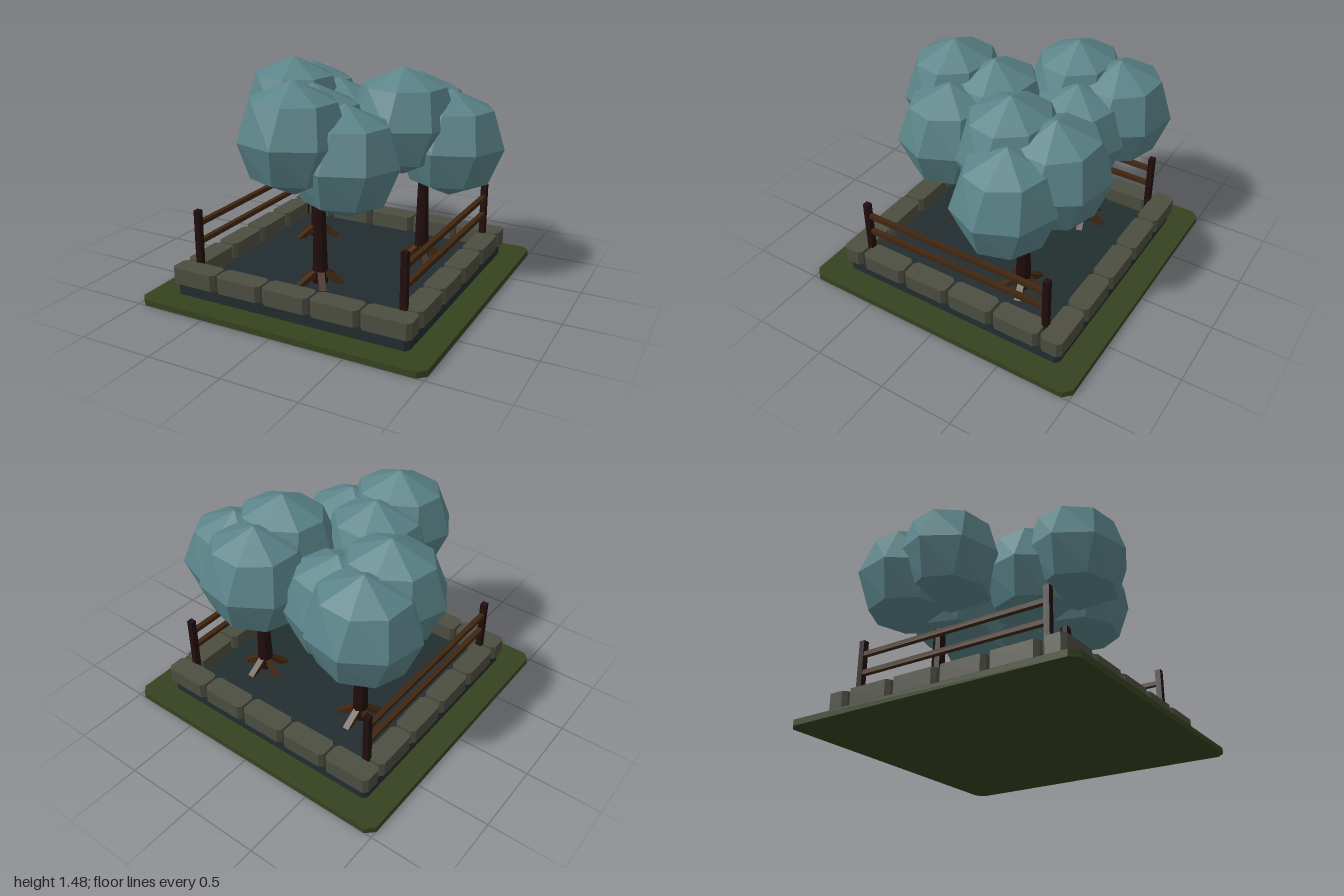
import * as THREE from 'three';

const material = (name, color) => {
  const m = new THREE.MeshStandardMaterial({ color });
  m.name = name;
  return m;
};

export function createModel() {
  const grass = material('grass green', 0x36421f);
  const soil = material('dark soil', 0x222d2f);
  const stone = material('grey stone', 0x4d4e41);
  const bark = material('dark bark', 0x220d0d);
  const wood = material('brown wood', 0x402610);
  const leaf = material('blue green leaves', 0x5a8388);
  const model = new THREE.Group();
  model.name = 'treeGarden';

  // Faceted mesh with one normal per face
  function add(parent, name, geometry, mat, x, y, z) {
    const g = geometry.index ? geometry.toNonIndexed() : geometry;
    g.computeVertexNormals();
    const mesh = new THREE.Mesh(g, mat);
    mesh.name = name;
    mesh.position.set(x, y, z);
    parent.add(mesh);
    return mesh;
  }

  // Block standing on y = 0 with its four upright edges cut off
  function block(w, h, d, c) {
    const a = w / 2, b = d / 2;
    const outline = [[a - c, -b], [a, c - b], [a, b - c], [a - c, b], [c - a, b], [-a, b - c], [-a, c - b], [c - a, -b]];
    const shape = new THREE.Shape(outline.map(([x, y]) => new THREE.Vector2(x, y)));
    return new THREE.ExtrudeGeometry(shape, { depth: h, bevelEnabled: false }).rotateX(-Math.PI / 2);
  }

  // Lawn and planting bed
  add(model, 'lawn', block(2, 0.04, 2, 0.05), grass, 0, 0, 0);
  add(model, 'bed', block(1.65, 0.08, 1.65, 0.025), soil, 0, 0.04, 0);

  // Stone border: five stones front and back, four on each side
  const border = new THREE.Group();
  border.name = 'stoneBorder';
  model.add(border);
  for (const s of [-1, 1]) {
    for (let i = -2; i <= 2; i++) {
      add(border, 'rowStone', block(0.325, 0.108, 0.148, 0.025), stone, i * 0.341, 0.12, s * 0.772);
    }
    for (let i = -1.5; i <= 1.5; i++) {
      add(border, 'sideStone', block(0.148, 0.108, 0.325, 0.025), stone, s * 0.772, 0.12, i * 0.344);
    }
  }

  // Fences along both sides
  for (const s of [-1, 1]) {
    const fence = new THREE.Group();
    fence.name = s > 0 ? 'leftFence' : 'rightFence';
    model.add(fence);
    for (const z of [-0.683, 0.683]) {
      add(fence, 'post', new THREE.BoxGeometry(0.041, 0.47, 0.04), bark, s * 0.732, 0.355, z);
    }
    for (const y of [0.37, 0.497]) {
      add(fence, 'rail', new THREE.BoxGeometry(0.034, 0.03, 1.33), wood, s * 0.732, y, 0);
    }
  }

  // Leaf clump: eight-sided with flat rings, each ring turned a little
  const profile = [[0, -0.365], [0.28, -0.24], [0.37, 0], [0.28, 0.24], [0, 0.365]];
  function clump(sx, sz, turn) {
    const g = new THREE.LatheGeometry(profile.map(([x, y]) => new THREE.Vector2(x, y)), 8);
    const p = g.attributes.position;
    const v = new THREE.Vector3();
    const up = new THREE.Vector3(0, 1, 0);
    for (let i = 0; i < p.count; i++) {
      v.fromBufferAttribute(p, i).applyAxisAngle(up, turn + v.y * 0.5);
      p.setXYZ(i, v.x * sx, v.y, v.z * sz);
    }
    return g;
  }

  // Three matching trees
  for (const [x, z] of [[-0.42, -0.325], [0.413, -0.325], [-0.003, 0.375]]) {
    const tree = new THREE.Group();
    tree.name = 'tree';
    tree.position.set(x, 0, z);
    model.add(tree);
    add(tree, 'trunk', new THREE.CylinderGeometry(0.03, 0.054, 0.8, 8), bark, 0, 0.52, 0);

    // Roots slope down and outward from the trunk
    for (let i = 0; i < 5; i++) {
      const root = new THREE.BoxGeometry(0.16, 0.035, 0.045);
      root.rotateZ(-0.6).translate(0.085, 0, 0).rotateY(i * Math.PI * 0.4 + 0.3);
      add(tree, 'root', root, wood, 0, 0.155, 0);
    }

    add(tree, 'frontLeaves', clump(1.02, 0.91, 0.1), leaf, -0.093, 1.115, 0.15);
    add(tree, 'backLeaves', clump(1.03, 0.97, 0.2), leaf, -0.115, 1.036, -0.148);
    add(tree, 'sideLeaves', clump(1, 0.93, 0), leaf, 0.187, 0.965, 0);
  }
  return model;
}
